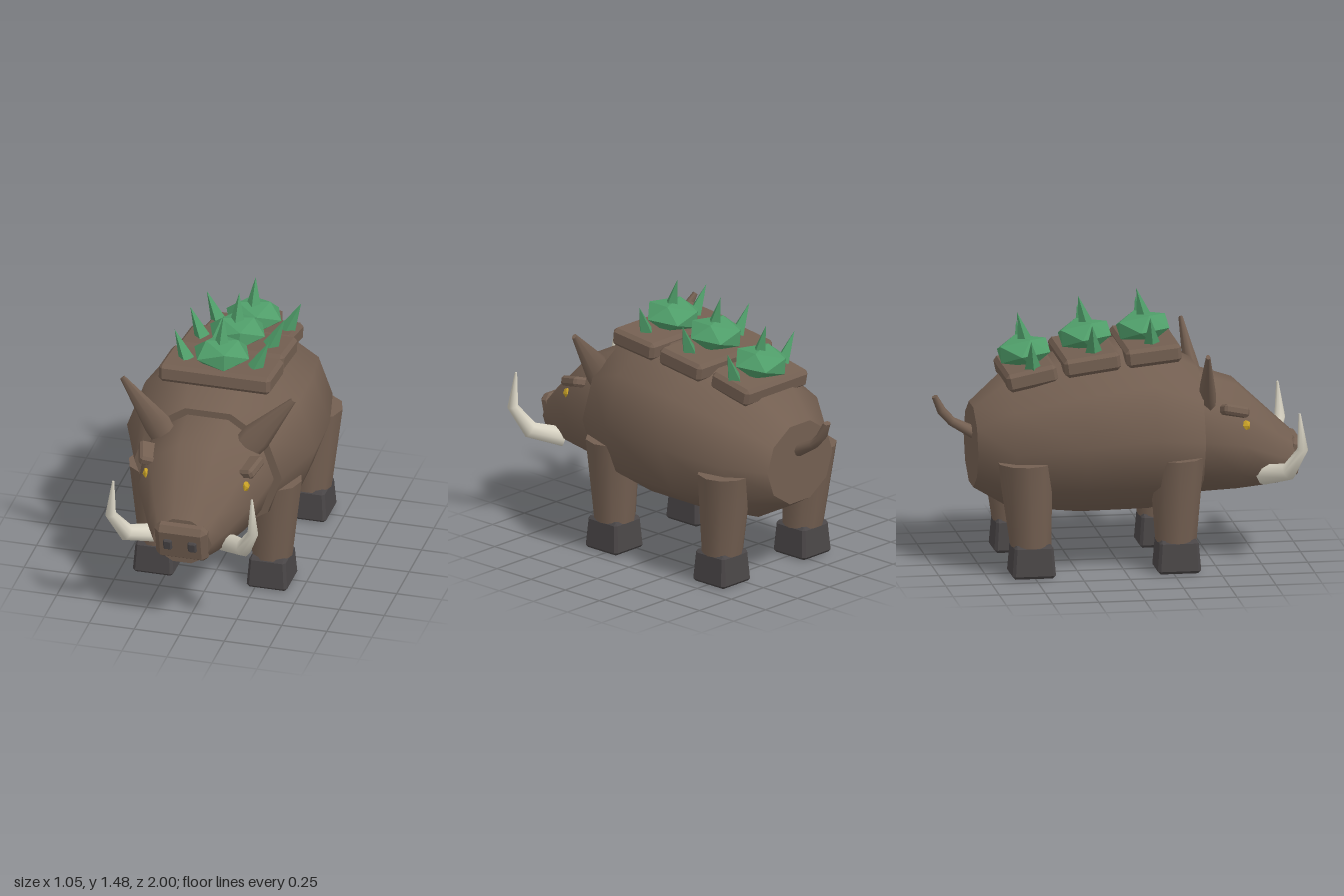
import * as THREE from 'three';
import { ConvexGeometry } from 'three/addons/geometries/ConvexGeometry.js';

const V = (x, y, z) => new THREE.Vector3(x, y, z);

// Smooth tube through rings [x, y, z, ru, rv] with flat end caps.
// axis: fixed ring direction, or null to follow the path; ref sets the roll.
function loft(rings, sides, ref, axis = null) {
  const pos = [], idx = [], n = rings.length;
  const centre = rings.map((r) => V(r[0], r[1], r[2]));
  const loops = rings.map((r, i) => {
    const t = axis ? axis.clone()
      : centre[Math.min(i + 1, n - 1)].clone().sub(centre[Math.max(i - 1, 0)]).normalize();
    const u = ref.clone().cross(t).normalize();
    const v = t.clone().cross(u);
    return Array.from({ length: sides }, (_, j) => {
      const a = (j / sides) * Math.PI * 2;
      return centre[i].clone().addScaledVector(u, Math.cos(a) * r[3]).addScaledVector(v, Math.sin(a) * r[4]);
    });
  });
  const push = (p) => pos.push(p.x, p.y, p.z) / 3 - 1;
  loops.forEach((l) => l.forEach(push));
  for (let i = 0; i < n - 1; i++) {
    for (let j = 0; j < sides; j++) {
      const a = i * sides + j, b = i * sides + ((j + 1) % sides);
      idx.push(a, b, b + sides, a, b + sides, a + sides);
    }
  }
  for (const end of [0, n - 1]) {
    const c = push(centre[end]);
    const first = loops[end].map(push)[0];
    for (let j = 0; j < sides; j++) {
      const a = first + j, b = first + ((j + 1) % sides);
      if (end) idx.push(c, a, b);
      else idx.push(c, b, a);
    }
  }
  const g = new THREE.BufferGeometry();
  g.setAttribute('position', new THREE.Float32BufferAttribute(pos, 3));
  g.setIndex(idx);
  g.computeVertexNormals();
  return g;
}

// Box with chamfered edges; taper scales the top.
function chamferBox(w, h, d, b, taper = 1) {
  const pts = [];
  for (const sx of [-1, 1]) for (const sy of [-1, 1]) for (const sz of [-1, 1]) {
    const k = sy > 0 ? taper : 1;
    for (const [a, c, e] of [[0, b, b], [b, 0, b], [b, b, 0]]) {
      pts.push(V(sx * (w / 2 - a) * k, sy * (h / 2 - c), sz * (d / 2 - e) * k));
    }
  }
  return new ConvexGeometry(pts);
}

export function createModel() {
  const mat = (name, color, flatShading = false) => {
    const m = new THREE.MeshStandardMaterial({ color, flatShading });
    m.name = name;
    return m;
  };
  const hide = mat('brown hide', 0x735f51);
  const horn = mat('dark horn', 0x4a4647);
  const ivory = mat('ivory', 0xd9d4c4);
  const crystal = mat('green crystal', 0x4f9d69, true);
  const gold = mat('gold eye', 0xc9a227, true);

  const model = new THREE.Group();
  model.name = 'boar';
  const add = (name, geo, material, parent = model) => {
    const m = new THREE.Mesh(geo, material);
    m.name = name;
    parent.add(m);
    return m;
  };
  const X = V(1, 0, 0), Y = V(0, 1, 0), Z = V(0, 0, 1);

  // Barrel body and tapering head
  add('body', loft([
    [0, 0.66, -0.785, 0.255, 0.23],
    [0, 0.685, -0.6, 0.41, 0.365],
    [0, 0.73, -0.22, 0.5, 0.445],
    [0, 0.76, 0.15, 0.525, 0.47],
    [0, 0.715, 0.425, 0.41, 0.37],
  ], 10, Y, Z), hide);
  add('head', loft([
    [0, 0.71, 0.4, 0.37, 0.345],
    [0, 0.675, 0.64, 0.33, 0.3],
    [0, 0.58, 0.86, 0.215, 0.185],
    [0, 0.55, 0.945, 0.165, 0.135],
  ], 10, Y, Z), hide);

  // Snout with two nostrils
  const snout = new THREE.Group();
  snout.name = 'snout';
  snout.position.set(0, 0.55, 0.94);
  snout.rotation.x = 0.22;
  model.add(snout);
  add('snoutPad', chamferBox(0.29, 0.22, 0.09, 0.03), hide, snout);

  // Curled tail
  add('tail', loft([
    [0, 0.72, -0.76, 0.035, 0.045],
    [0, 0.79, -0.89, 0.025, 0.04],
    [0, 0.85, -0.945, 0.025, 0.035],
    [0, 0.93, -0.983, 0.016, 0.025],
  ], 8, X), hide);

  for (const s of [1, -1]) {
    const side = s > 0 ? 'left' : 'right';
    const nostril = add(side + 'Nostril', chamferBox(0.048, 0.065, 0.03, 0.008), horn, snout);
    nostril.position.set(s * 0.068, 0.005, 0.045);

    // Legs and hooves
    for (const [name, zTop, zFoot] of [['Front', 0.275, 0.275], ['Hind', -0.545, -0.512]]) {
      add(side + name + 'Leg', loft([
        [s * 0.316, 0.17, zFoot, 0.112, 0.112],
        [s * 0.33, 0.63, zTop, 0.15, 0.15],
      ], 10, Z, Y), hide);
      const hoof = add(side + name + 'Hoof', chamferBox(0.225, 0.18, 0.235, 0.016, 0.9), horn);
      hoof.position.set(s * 0.316, 0.094, zFoot + 0.005);
    }

    // Flattened ears
    add(side + 'Ear', loft([
      [s * 0.2, 0.87, 0.48, 0.075, 0.035],
      [s * 0.275, 0.965, 0.452, 0.083, 0.045],
      [s * 0.475, 1.205, 0.425, 0.016, 0.012],
    ], 8, Z), hide);

    // Brow and eye
    const brow = add(side + 'Brow', chamferBox(0.1, 0.055, 0.15, 0.014), hide);
    brow.position.set(s * 0.285, 0.858, 0.595);
    brow.rotation.set(0.25, s * -0.25, s * 0.35);
    const eye = add(side + 'Eye', new THREE.IcosahedronGeometry(0.032, 0), gold);
    eye.position.set(s * 0.275, 0.775, 0.66);
    eye.scale.set(0.7, 1, 0.9);

    // Upswept tusks
    add(side + 'Tusk', loft([
      [s * 0.19, 0.48, 0.765, 0.055, 0.052],
      [s * 0.325, 0.525, 0.885, 0.048, 0.045],
      [s * 0.395, 0.66, 0.95, 0.03, 0.03],
      [s * 0.385, 0.855, 0.935, 0.006, 0.006],
    ], 8, V(s, 0, -1)), ivory);
  }

  // Back plates, each carrying a crystal cluster
  const plates = [
    [0.62, 0.3, 1.178, 0.16, 0.1],
    [0.59, 0.305, 1.137, -0.17, 0.13],
    [0.49, 0.275, 1.062, -0.488, 0.2],
  ];
  plates.forEach(([w, d, y, z, tilt], i) => {
    const plate = add('backPlate' + (i + 1), chamferBox(w, 0.1, d, 0.02), hide);
    plate.position.set(0, y, z);
    plate.rotation.x = -tilt;

    const cluster = new THREE.Group();
    cluster.name = 'crystalCluster' + (i + 1);
    cluster.position.set(0, [1.275, 1.245, 1.165][i], [0.145, -0.17, -0.5][i]);
    model.add(cluster);
    const core = add('crystalCore', new THREE.IcosahedronGeometry(0.165, 0), crystal, cluster);
    core.scale.y = 0.52;
    core.rotation.set(-0.08, 0.35, 0);

    // One tall centre spike and two side spikes leaning out and back
    const spike = (name, base, tip, r) => {
      const dir = tip.clone().sub(base);
      const m = add(name, new THREE.ConeGeometry(r, dir.length(), 4), crystal, cluster);
      m.position.copy(base).addScaledVector(dir, 0.5);
      m.quaternion.setFromUnitVectors(Y, dir.normalize());
    };
    spike('centreSpike', V(0, 0.04, 0.01), V(0, 0.21, -0.035), 0.045);
    for (const s of [1, -1]) {
      spike('sideSpike', V(s * 0.19, -0.055, 0.02), V(s * 0.262, 0.105, 0), 0.045);
    }
  });

  return model;
}
